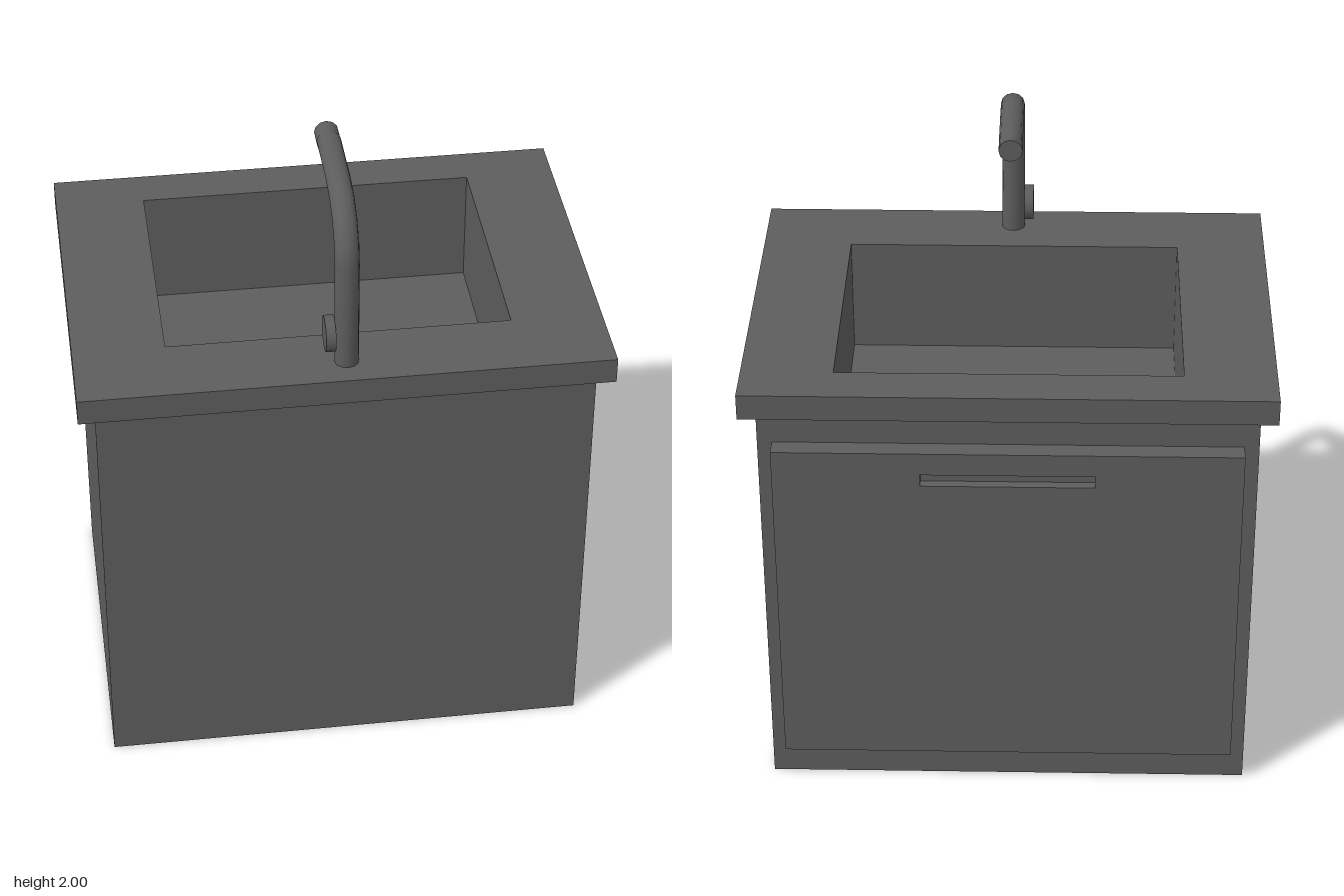
import * as THREE from 'three';

const material = new THREE.MeshStandardMaterial({ color: 0x5d5d5d, side: THREE.DoubleSide });

function addMesh(parent, name, geometry, x = 0, y = 0, z = 0) {
  const mesh = new THREE.Mesh(geometry, material);
  mesh.name = name;
  mesh.position.set(x, y, z);
  parent.add(mesh);
  return mesh;
}

function addGroup(parent, name, x = 0, y = 0, z = 0) {
  const group = new THREE.Group();
  group.name = name;
  group.position.set(x, y, z);
  parent.add(group);
  return group;
}

// Rectangle path from opposite corners
function rectangle(x0, y0, x1, y1, Type = THREE.Shape) {
  const points = [[x0, y0], [x1, y0], [x1, y1], [x0, y1]];
  return new Type(points.map(([x, y]) => new THREE.Vector2(x, y)));
}

// Four upright walls: a box without its top and bottom
function openBox(w, h, d) {
  const box = new THREE.BoxGeometry(w, h, d);
  const index = [...box.index.array];
  box.setIndex([...index.slice(0, 12), ...index.slice(24)]);
  box.clearGroups();
  return box;
}

// Sweep in the z-y plane; each station is { z, y, angle, half thickness }
function sweep(stations, halfWidth, sides) {
  const positions = [], index = [];
  for (const { z, y, angle, half } of stations) {
    for (let i = 0; i < sides; i++) {
      const a = (i / sides) * Math.PI * 2;
      const out = Math.sin(a) * half;
      positions.push(Math.cos(a) * halfWidth, y + out * Math.sin(angle), z + out * Math.cos(angle));
    }
  }
  for (let s = 0; s < stations.length - 1; s++) {
    for (let i = 0; i < sides; i++) {
      const a = s * sides + i, b = s * sides + (i + 1) % sides;
      index.push(a, a + sides, b, b, a + sides, b + sides);
    }
  }
  const geometry = new THREE.BufferGeometry();
  geometry.setAttribute('position', new THREE.Float32BufferAttribute(positions, 3));
  geometry.setIndex(index);
  geometry.computeVertexNormals();
  return geometry;
}

// Flat disc closing the end of a sweep
function endCap(halfWidth, half, sides) {
  return new THREE.CircleGeometry(1, sides).scale(halfWidth, half, 1).rotateY(Math.PI);
}

export function createModel() {
  const model = new THREE.Group();
  model.name = 'sinkCabinet';

  // Cabinet, open underneath
  addMesh(model, 'cabinet', openBox(1.52, 1.375, 1.11), 0, 0.6875, 0.01);

  // Countertop with basin opening
  const top = rectangle(-0.8125, -0.605, 0.8125, 0.582);
  top.holes.push(rectangle(-0.53, -0.3645, 0.53, 0.4405, THREE.Path));
  const topGeometry = new THREE.ExtrudeGeometry(top, { depth: 0.083, bevelEnabled: false });
  addMesh(model, 'countertop', topGeometry.rotateX(-Math.PI / 2), 0, 1.367, 0);

  // Basin walls, floor sloping to the drain, and drain cup
  const basin = addGroup(model, 'basin', 0, 1.07, -0.038);
  addMesh(basin, 'basinWalls', openBox(1.06, 0.37, 0.805), 0, 0.185, 0);

  const drainRadius = 0.09, drainSides = 9, drop = 0.025, cupDepth = 0.03;
  const floor = rectangle(-0.53, -0.4025, 0.53, 0.4025);
  const ring = [];
  for (let i = 0; i < drainSides; i++) {
    const a = Math.PI / 2 + (i / drainSides) * Math.PI * 2;
    ring.push(new THREE.Vector2(Math.cos(a) * drainRadius, Math.sin(a) * drainRadius));
  }
  floor.holes.push(new THREE.Path(ring));
  const floorGeometry = new THREE.ShapeGeometry(floor).rotateX(-Math.PI / 2);
  const p = floorGeometry.attributes.position;
  for (let i = 0; i < p.count; i++) {
    if (Math.hypot(p.getX(i), p.getZ(i)) < 0.2) p.setY(i, -drop);
  }
  floorGeometry.computeVertexNormals();
  addMesh(basin, 'basinFloor', floorGeometry);

  const drainWall = new THREE.CylinderGeometry(drainRadius, 0.086, cupDepth, drainSides, 1, true, Math.PI);
  addMesh(basin, 'drainWall', drainWall, 0, -drop - cupDepth / 2, 0);
  const drainBottom = new THREE.CircleGeometry(0.086, drainSides, Math.PI / 2).rotateX(-Math.PI / 2);
  addMesh(basin, 'drainBottom', drainBottom, 0, -drop - cupDepth, 0);

  // Door: backing panel behind a face with a shallow slot grip
  const door = addGroup(model, 'door', 0, 0, -0.605);
  const face = rectangle(-0.715, 0.13, 0.715, 1.265);
  face.holes.push(rectangle(-0.265, 1.15, 0.265, 1.19, THREE.Path));
  addMesh(door, 'doorFace', new THREE.ExtrudeGeometry(face, { depth: 0.03, bevelEnabled: false }));
  addMesh(door, 'doorPanel', new THREE.BoxGeometry(1.43, 1.135, 0.03), 0, 0.6975, 0.045);

  // Faucet: upright pipe, quarter bend and slimmer spout
  const faucet = addGroup(model, 'faucet', 0.004);
  const sides = 12, width = 0.037, bendSteps = 4;
  const stations = [{ z: 0.505, y: 1.44, angle: 0, half: 0.035 }];
  for (let i = 0; i <= bendSteps; i++) {
    const t = i / bendSteps, angle = t * Math.PI / 2;
    stations.push({
      z: 0.3 + 0.205 * Math.cos(angle),
      y: 1.8 + 0.171 * Math.sin(angle),
      angle,
      half: 0.035 - 0.006 * t,
    });
  }
  stations.push({ z: 0.09, y: 1.971, angle: Math.PI / 2, half: 0.029 });
  addMesh(faucet, 'spoutPipe', sweep(stations, width, sides));

  // Thicker nozzle at the tip
  const nozzle = [0.1, 0.03].map((z) => ({ z, y: 1.9635, angle: Math.PI / 2, half: 0.0365 }));
  addMesh(faucet, 'nozzle', sweep(nozzle, width, sides));
  for (const { z, y, half } of nozzle) addMesh(faucet, 'nozzleEnd', endCap(width, half, sides), 0, y, z);

  // Round control knob on the side of the pipe
  const knob = new THREE.CylinderGeometry(0.056, 0.056, 0.03, 12).rotateZ(Math.PI / 2);
  addMesh(faucet, 'knob', knob, -0.051, 1.546, 0.49);

  return model;
}
